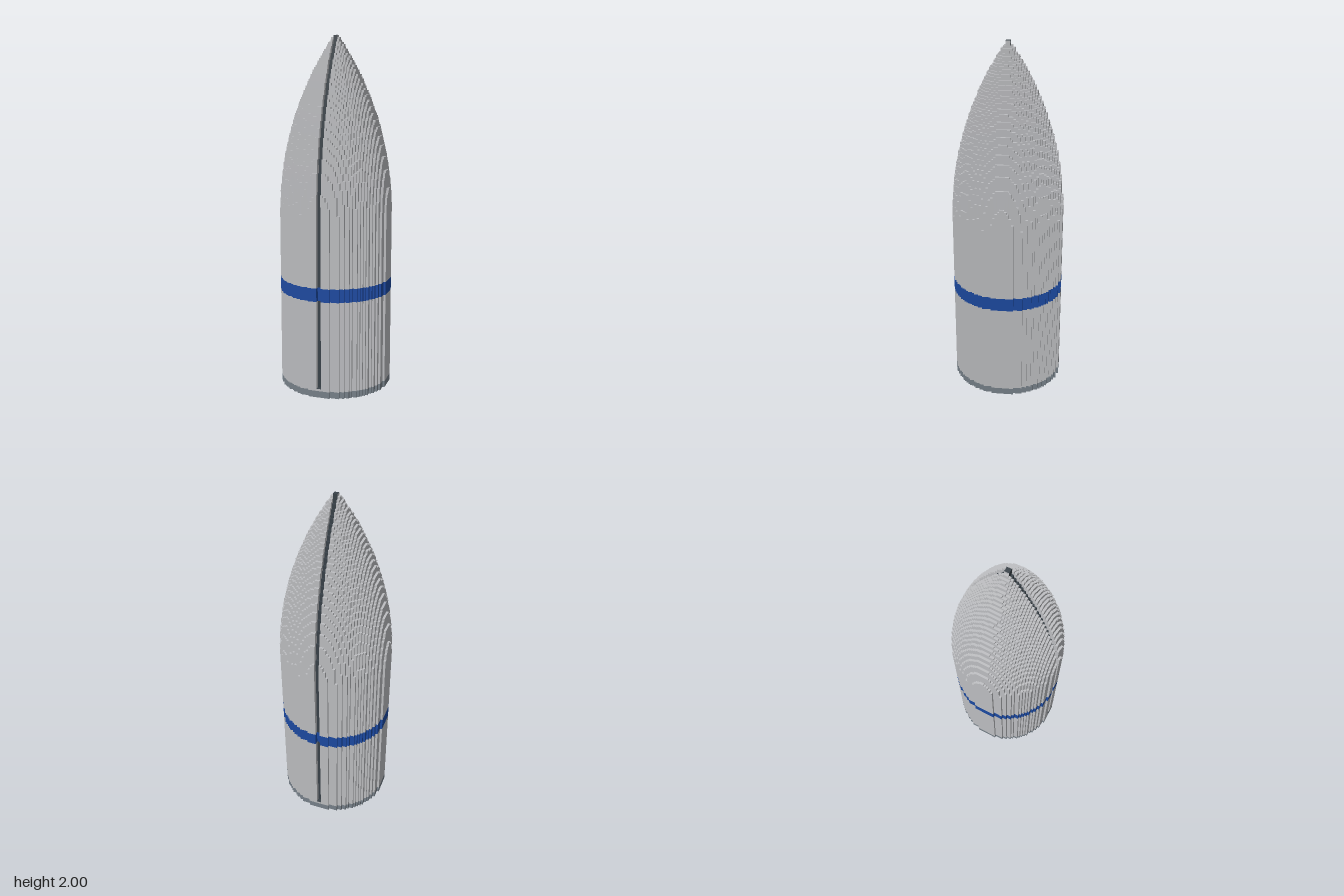
import * as THREE from 'three';

const R = 25;            // body radius in cells
const CYL = 80;          // straight body height in cells
const NOSE = 80;         // ogive length in cells
const U = 2 / 159;       // cell size
const RHO = (R * R + NOSE * NOSE) / (2 * R);
const GROOVE = 2;        // seam depth in cells
const GROOVE_BASE = 4;   // layer where the seam starts

// Radius of the stepped ogive at a given layer
function layerRadius(k) {
  if (k < CYL) return R;
  const t = k - CYL + 0.5;
  return Math.sqrt(RHO * RHO - t * t) - (RHO - R);
}

// Cells in the plain ogive column at (i, j)
function ogiveHeight(i, j) {
  const d = Math.hypot(i + 0.5, j + 0.5);
  let k = 0;
  while (k < CYL + NOSE && layerRadius(k) >= d) k++;
  return k;
}

// Column height with the recessed seam between the two halves
const isSeam = (i) => i === 0 || i === -1;
function columnHeight(i, j) {
  const h = ogiveHeight(i, j);
  const m = j >= 0 ? j : -1 - j;
  if (!h || !isSeam(i) || m === 0) return h;
  return Math.max(GROOVE_BASE, ogiveHeight(i, m + GROOVE));
}

// Horizontal colour zones: [from, to, part]
const ZONES = [[0, 3, 'baseRing'], [3, 4, 'shell'], [4, 44, 'shell'], [44, 50, 'bandRing'], [50, 160, 'shell']];

export function createModel() {
  const mat = (name, color) => Object.assign(new THREE.MeshStandardMaterial({ color }), { name });
  const grey = mat('light grey', 0xbebfc2);
  const dark = mat('dark slate', 0x394249);
  const blue = mat('blue', 0x1c4aa2);
  const steel = mat('steel grey', 0x78828b);
  const materials = { shell: grey, seam: dark, bandRing: blue, baseRing: steel };
  const quads = { shell: [], seam: [], bandRing: [], baseRing: [] };

  // Adds one four-cornered face, corners counter-clockwise from outside
  const quad = (part, a, b, c, d) => {
    for (const p of [a, b, c, a, c, d]) quads[part].push(p[0] * U, p[1] * U, p[2] * U);
  };

  for (let i = -R; i < R; i++) {
    for (let j = -R; j < R; j++) {
      const h = columnHeight(i, j);
      if (!h) continue;

      // Tread on top and flat underside
      quad(isSeam(i) ? 'seam' : 'shell', [i, h, j + 1], [i + 1, h, j + 1], [i + 1, h, j], [i, h, j]);
      quad('baseRing', [i, 0, j], [i + 1, 0, j], [i + 1, 0, j + 1], [i, 0, j + 1]);

      // Exposed walls above each lower neighbour
      for (const [nx, nz] of [[1, 0], [-1, 0], [0, 1], [0, -1]]) {
        const low = columnHeight(i + nx, j + nz);
        const cx = i + 0.5 + nx / 2, cz = j + 0.5 + nz / 2;
        const tx = nz / 2, tz = -nx / 2;
        for (const [from, to, zone] of ZONES) {
          const y0 = Math.max(from, low), y1 = Math.min(to, h);
          if (y1 <= y0) continue;
          const floor = isSeam(i) && nz !== 0 && zone === 'shell' && from >= GROOVE_BASE;
          quad(floor ? 'seam' : zone,
            [cx - tx, y0, cz - tz], [cx + tx, y0, cz + tz],
            [cx + tx, y1, cz + tz], [cx - tx, y1, cz - tz]);
        }
      }
    }
  }

  // One mesh per coloured part
  const group = new THREE.Group();
  group.name = 'steppedNoseCone';
  for (const part of Object.keys(quads)) {
    const geo = new THREE.BufferGeometry();
    geo.setAttribute('position', new THREE.Float32BufferAttribute(quads[part], 3));
    geo.computeVertexNormals();
    const mesh = new THREE.Mesh(geo, materials[part]);
    mesh.name = part;
    group.add(mesh);
  }
  return group;
}
